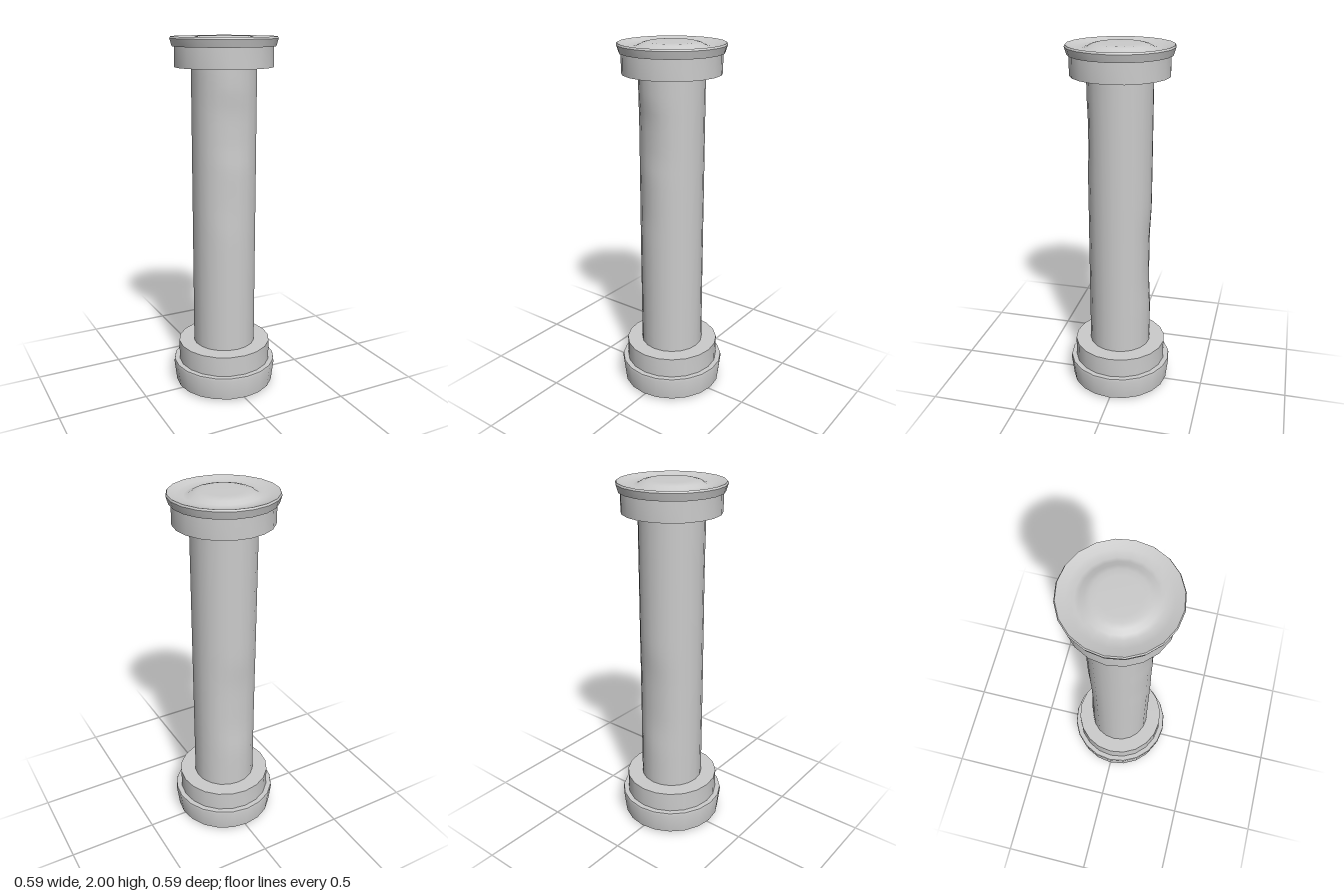
import * as THREE from 'three';
import { toCreasedNormals } from 'three/addons/utils/BufferGeometryUtils.js';

const SIDES = 20;
const material = new THREE.MeshStandardMaterial({ color: 0xcccccc });

// Turned part from a profile of [radius, height], listed from bottom to top
function turned(name, profile, crease, reshape) {
  const points = profile.map(([r, y]) => new THREE.Vector2(r, y));
  let geometry = new THREE.LatheGeometry(points, SIDES);
  if (reshape) reshape(geometry);
  geometry = toCreasedNormals(geometry, crease);
  const mesh = new THREE.Mesh(geometry, material);
  mesh.name = name;
  return mesh;
}

// Shallow worn patches: centre angle (from +z towards +x), height, half sizes, depth
const DENTS = [
  { angle: -0.2, y: 1.52, width: 0.55, height: 0.16, depth: 0.012 },
  { angle: -0.4, y: 1.2, width: 0.4, height: 0.2, depth: 0.006 },
  { angle: Math.PI, y: 0.8, width: 0.55, height: 0.24, depth: 0.012 },
];

function wearShaft(geometry) {
  const pos = geometry.attributes.position;
  for (let i = 0; i < pos.count; i++) {
    const x = pos.getX(i), y = pos.getY(i), z = pos.getZ(i);
    const a = Math.atan2(x, z);
    let r = Math.hypot(x, z);
    for (const d of DENTS) {
      const da = Math.atan2(Math.sin(a - d.angle), Math.cos(a - d.angle)) / d.width;
      const dy = (y - d.y) / d.height;
      r -= d.depth * Math.exp(-(da * da + dy * dy * dy * dy));
    }
    pos.setXYZ(i, Math.sin(a) * r, y, Math.cos(a) * r);
  }
}

export function createModel() {
  const column = new THREE.Group();
  column.name = 'column';

  // Foot with a bevelled underside and slightly flared wall
  column.add(turned('foot', [
    [0, 0], [0.22, 0.004], [0.283, 0.015], [0.297, 0.135], [0.294, 0.15], [0.25, 0.15],
  ], 0.6));

  // Drum on the foot
  column.add(turned('baseDrum', [
    [0.265, 0.14], [0.265, 0.265], [0.17, 0.265],
  ], 0.6));

  // Worn shaft
  const shaft = [];
  for (let i = 0; i <= 32; i++) shaft.push([0.177, 0.25 + (1.6 * i) / 32]);
  column.add(turned('shaft', shaft, 0.6, wearShaft));

  // Drum under the top plate
  column.add(turned('capitalDrum', [
    [0.17, 1.838], [0.265, 1.838], [0.265, 1.95],
  ], 0.6));

  // Top plate: dished rim around a low central boss
  column.add(turned('topPlate', [
    [0.25, 1.945], [0.276, 1.945], [0.288, 1.985], [0.283, 1.995],
    [0.24, 1.982], [0.2, 1.975], [0.178, 1.98], [0.155, 1.993], [0.13, 1.999], [0.1, 2], [0, 2],
  ], 0.7));

  return column;
}
